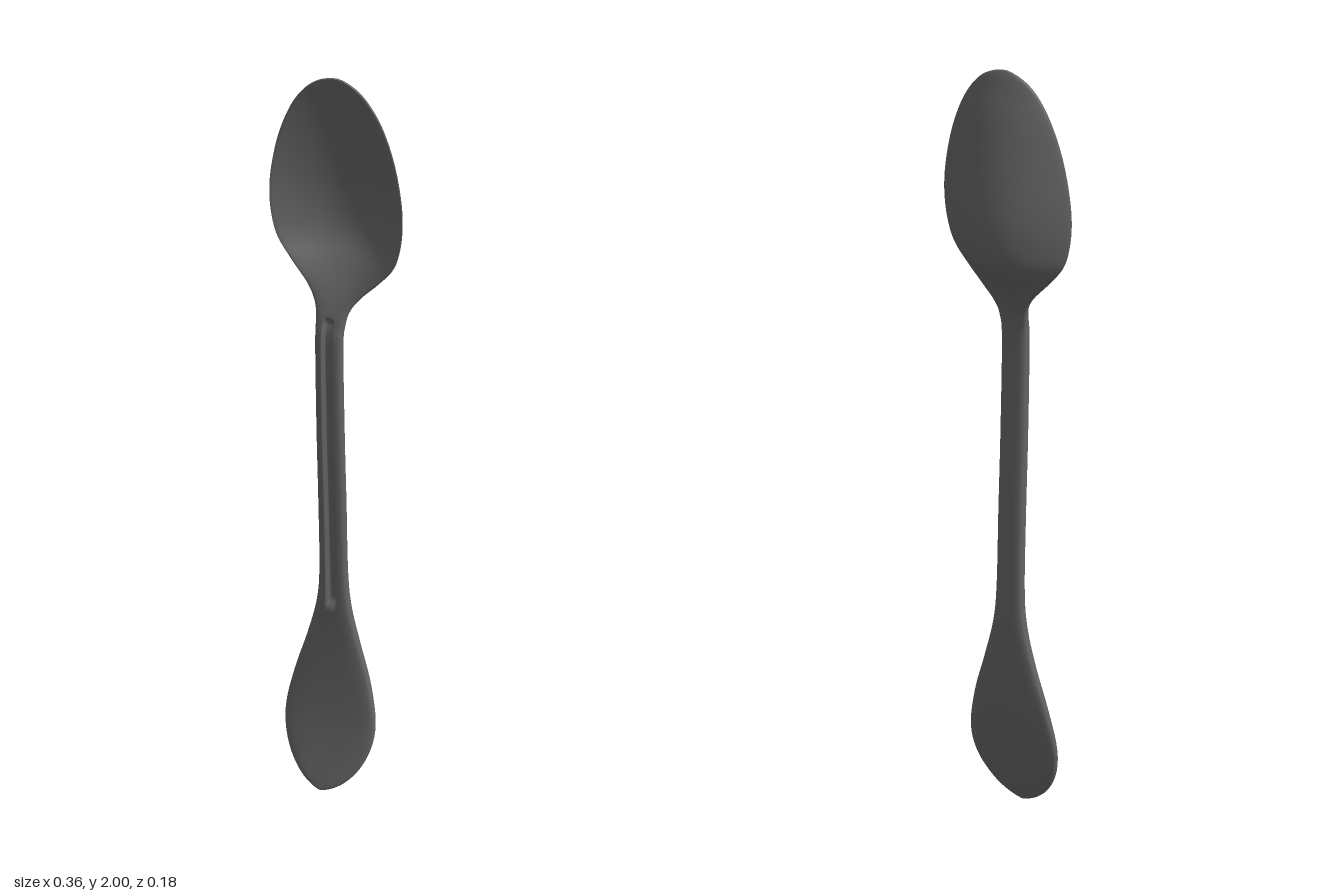
import * as THREE from 'three';

// Stations from bowl tip to handle end: height, half width, edge z, dish depth, half thickness
const STATIONS = [
  [2.0, 0, -0.003, 0, 0.003],
  [1.985, 0.05, -0.002, 0.006, 0.005],
  [1.95, 0.09, 0, 0.018, 0.006],
  [1.89, 0.127, 0.001, 0.037, 0.007],
  [1.8, 0.159, 0.003, 0.06, 0.007],
  [1.7, 0.178, 0.005, 0.08, 0.007],
  [1.62, 0.182, 0.007, 0.09, 0.007],
  [1.55, 0.173, 0.008, 0.088, 0.007],
  [1.5, 0.155, 0.009, 0.075, 0.008],
  [1.45, 0.117, 0.01, 0.043, 0.009],
  [1.4, 0.073, 0.012, 0.011, 0.01],
  [1.36, 0.047, 0.022, 0.001, 0.012],
  [1.32, 0.038, 0.034, 0, 0.014],
  [1.25, 0.035, 0.041, 0, 0.017],
  [1.0, 0.035, 0.034, 0, 0.017],
  [0.8, 0.035, 0.025, 0, 0.017],
  [0.6, 0.036, 0.018, 0, 0.016],
  [0.5, 0.045, 0.016, 0, 0.016],
  [0.4, 0.07, 0.016, 0, 0.016],
  [0.3, 0.1, 0.02, 0, 0.016],
  [0.2, 0.12, 0.031, 0, 0.015],
  [0.13, 0.115, 0.044, 0, 0.015],
  [0.07, 0.09, 0.06, 0, 0.014],
  [0.025, 0.05, 0.074, 0, 0.013],
  [0.004, 0, 0.081, 0, 0.01],
];
const STEPS = 12;
const HALF = [0, 0.12, 0.22, 0.28, 0.34, 0.4, 0.46, 0.54, 0.64, 0.74, 0.83, 0.9, 0.95, 0.985, 1];
const ACROSS = [...HALF.slice(1).reverse().map((t) => -t), ...HALF];

// Station at a fractional index; mirrored widths past the ends keep the tips round
function stationAt(u) {
  const last = STATIONS.length - 1;
  const get = (i) => {
    if (i >= 0 && i <= last) return STATIONS[i];
    const s = STATIONS[i < 0 ? 1 : last - 1].slice();
    s[1] *= -1;
    return s;
  };
  const i = Math.min(Math.floor(u), last - 1), f = u - i;
  return STATIONS[i].map((_, k) => {
    const [a, b, c, d] = [get(i - 1)[k], get(i)[k], get(i + 1)[k], get(i + 2)[k]];
    return b + 0.5 * f * (c - a + f * (2 * a - 5 * b + 4 * c - d + f * (3 * (b - c) + d - a)));
  });
}

// Closed ring: front face left to right, then back face right to left
function ring(u) {
  const [y, width, z, depth, thick] = stationAt(u);
  const w = Math.max(width, 0);
  const smooth = THREE.MathUtils.smoothstep;
  const channel = 0.014 * smooth(y, 0.49, 0.515) * (1 - smooth(y, 1.315, 1.34));
  const points = [];
  const add = (t, side) => {
    const x = t * w;
    const edge = Math.pow(Math.max(1 - Math.abs(t) ** 3.5, 0), 1 / 3.5);
    const groove = side > 0 ? channel * (1 - smooth(Math.abs(x), 0.009, 0.015)) : 0;
    points.push([x, y, z - depth * (1 - t * t) + side * thick * edge - groove]);
  };
  ACROSS.forEach((t) => add(t, 1));
  ACROSS.slice(1, -1).reverse().forEach((t) => add(t, -1));
  return points;
}

function spoonGeometry() {
  const rows = (STATIONS.length - 1) * STEPS;
  const position = [], index = [];
  let n = 0;
  for (let i = 0; i <= rows; i++) {
    const points = ring(i / STEPS);
    n = points.length;
    points.forEach((p) => position.push(...p));
  }
  for (let i = 0; i < rows; i++) {
    for (let j = 0; j < n; j++) {
      const a = i * n + j, c = i * n + ((j + 1) % n);
      index.push(a, a + n, c, c, a + n, c + n);
    }
  }
  const geometry = new THREE.BufferGeometry();
  geometry.setAttribute('position', new THREE.Float32BufferAttribute(position, 3));
  geometry.setIndex(index);
  geometry.computeVertexNormals();
  return geometry;
}

export function createModel() {
  const model = new THREE.Group();
  model.name = 'spoon';
  const darkGrey = new THREE.MeshStandardMaterial({ color: 0x626262 });
  darkGrey.name = 'dark grey';

  // Bowl, neck and grooved handle in one continuous skin
  const body = new THREE.Mesh(spoonGeometry(), darkGrey);
  body.name = 'bowlAndHandle';
  model.add(body);
  return model;
}
